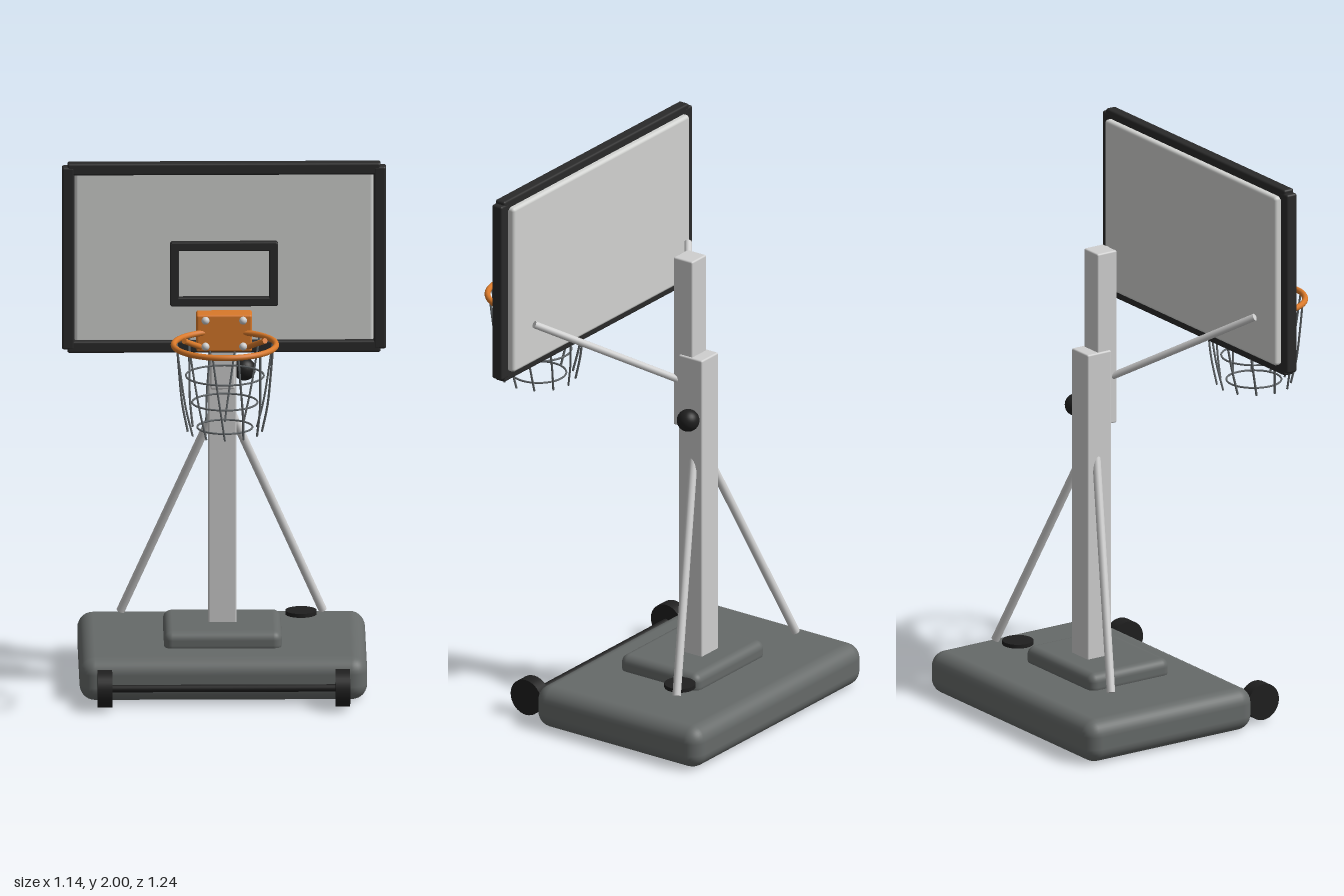
import * as THREE from 'three';
import { RoundedBoxGeometry } from 'three/addons/geometries/RoundedBoxGeometry.js';

const mat = (name, color) => {
  const m = new THREE.MeshStandardMaterial({ color });
  m.name = name;
  return m;
};

export function createModel() {
  const root = new THREE.Group();
  root.name = 'basketballHoop';
  const plastic = mat('grey plastic', 0x666a69);
  const metal = mat('silver metal', 0xcfcfcf);
  const board = mat('pale board', 0xd2d3d1);
  const black = mat('black trim', 0x2a2a2a);
  const rubber = mat('black rubber', 0x1f1f1f);
  const orange = mat('orange steel', 0xd9792a);
  const cord = mat('grey cord', 0x62676a);

  const add = (name, geometry, material, x = 0, y = 0, z = 0) => {
    const mesh = new THREE.Mesh(geometry, material);
    mesh.name = name;
    mesh.position.set(x, y, z);
    root.add(mesh);
    return mesh;
  };
  // Rounded box given by its limits on each axis
  const box = (name, material, [x0, x1], [y0, y1], [z0, z1], r) =>
    add(name, new RoundedBoxGeometry(x1 - x0, y1 - y0, z1 - z0, 4, r), material,
      (x0 + x1) / 2, (y0 + y1) / 2, (z0 + z1) / 2);
  // Round bar between two points
  const bar = (name, material, a, b, r) => {
    const p = new THREE.Vector3(...a), q = new THREE.Vector3(...b);
    const mesh = add(name, new THREE.CylinderGeometry(r, r, p.distanceTo(q), 14), material);
    mesh.position.copy(p).add(q).multiplyScalar(0.5);
    mesh.quaternion.setFromUnitVectors(new THREE.Vector3(0, 1, 0), q.sub(p).normalize());
    return mesh;
  };

  // Weighted base, raised plinth and filler cap
  box('base', plastic, [-0.505, 0.505], [0.005, 0.16], [-0.622, 0.09], 0.055);
  box('plinth', plastic, [-0.207, 0.207], [0.14, 0.218], [-0.408, -0.068], 0.03);
  add('fillerCap', new THREE.CylinderGeometry(0.055, 0.055, 0.014, 32), rubber, 0.278, 0.207, -0.386);

  // Wheels on an axle
  bar('axle', rubber, [-0.42, 0.078, 0.163], [0.42, 0.078, 0.163], 0.013);
  for (const s of [-1, 1]) {
    bar('wheel', rubber, [s * 0.392, 0.078, 0.163], [s * 0.443, 0.078, 0.163], 0.066).geometry =
      new THREE.CylinderGeometry(0.066, 0.066, 0.051, 32);
  }

  // Telescoping pole with its height knob
  box('lowerPole', metal, [-0.05, 0.05], [0.2, 1.345], [-0.315, -0.213], 0.006);
  box('upperPole', metal, [-0.043, 0.043], [1.07, 1.708], [-0.268, -0.185], 0.006);
  add('heightKnob', new THREE.SphereGeometry(0.04, 28, 20), rubber, 0.078, 1.12, -0.276);

  // Pole struts and board arms
  for (const s of [-1, 1]) {
    bar('poleStrut', metal, [s * 0.035, 0.96, -0.268], [s * 0.355, 0.203, -0.428], 0.015);
    bar('boardArm', metal, [s * 0.03, 1.24, -0.2], [s * 0.458, 1.518, 0.115], 0.013);
  }

  // Backboard with frame
  box('boardPanel', board, [-0.525, 0.525], [1.345, 1.97], [0.155, 0.2], 0.012);
  box('frameTop', black, [-0.55, 0.55], [1.957, 2], [0.177, 0.219], 0.008);
  box('frameBottom', black, [-0.55, 0.55], [1.312, 1.355], [0.177, 0.219], 0.008);
  for (const s of [-1, 1]) {
    box('frameSide', black, [s * 0.547 - 0.022, s * 0.547 + 0.022], [1.325, 1.987], [0.176, 0.22], 0.008);
  }

  // Aiming rectangle
  box('targetTop', black, [-0.187, 0.187], [1.683, 1.715], [0.198, 0.226], 0.005);
  box('targetBottom', black, [-0.187, 0.187], [1.482, 1.514], [0.198, 0.226], 0.005);
  for (const s of [-1, 1]) {
    box('targetSide', black, [s * 0.174 - 0.016, s * 0.174 + 0.016], [1.485, 1.712], [0.198, 0.226], 0.005);
  }

  // Rim, mounting plate, bolts and braces
  const cz = 0.43, rimY = 1.398;
  box('mountPlate', orange, [-0.098, 0.098], [1.33, 1.464], [0.2, 0.274], 0.008);
  add('rim', new THREE.TorusGeometry(0.18, 0.0105, 14, 64), orange, 0, rimY, cz).rotation.x = Math.PI / 2;
  for (const s of [-1, 1]) {
    bar('rimBrace', orange, [s * 0.08, 1.345, 0.265], [s * 0.142, 1.392, 0.355], 0.01);
    for (const y of [1.352, 1.446]) {
      add('bolt', new THREE.SphereGeometry(0.014, 16, 12), metal, s * 0.066, y, 0.282);
    }
  }

  // Net: twisted cords and three hoops
  const levels = [[0.174, 1.395, 0], [0.163, 1.29, -0.07], [0.15, 1.18, -0.16], [0.13, 1.083, -0.25]];
  const count = 12;
  for (let i = 0; i < count; i++) {
    const a = ((i + 0.5) / count) * Math.PI * 2;
    const points = levels.map(([r, y, t]) =>
      new THREE.Vector3(Math.cos(a + t) * r, y, cz + Math.sin(a + t) * r));
    add('netCord', new THREE.TubeGeometry(new THREE.CatmullRomCurve3(points), 12, 0.004, 6), cord);
  }
  for (const [r, y] of [[0.137, 1.287], [0.115, 1.19], [0.097, 1.1]]) {
    add('netHoop', new THREE.TorusGeometry(r, 0.0035, 6, 40), cord, 0, y, cz).rotation.x = Math.PI / 2;
  }
  return root;
}
